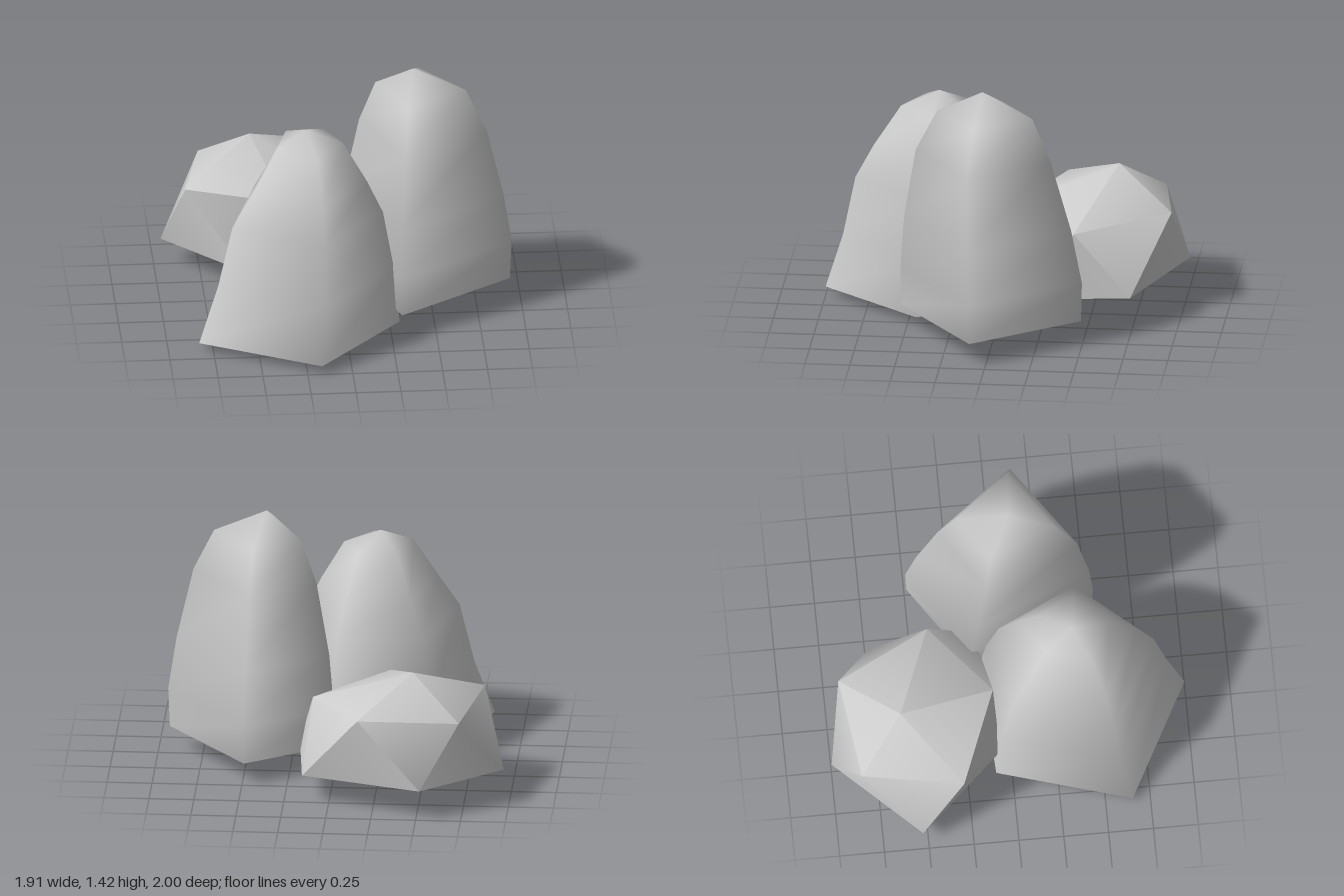
import * as THREE from 'three';
import { ConvexGeometry } from 'three/addons/geometries/ConvexGeometry.js';
import { toCreasedNormals } from 'three/addons/utils/BufferGeometryUtils.js';

const material = new THREE.MeshStandardMaterial({ color: 0xcccccc });

function buildGeometry(positions, indices) {
  const geo = new THREE.BufferGeometry();
  geo.setAttribute('position', new THREE.Float32BufferAttribute(positions, 3));
  geo.setIndex(indices);
  geo.computeVertexNormals();
  return geo;
}

// Standing stone: a polygonal base [x, z] repeated up through rings
// [y, scale, centreX, centreZ] and closed by an apex; the base is a flat cap.
function standingStone(name, base, rings, apex) {
  const n = base.length;
  const [, , baseX, baseZ] = rings[0];
  const positions = [];
  for (const [y, s, cx, cz] of rings) {
    for (const [x, z] of base) positions.push(cx + (x - baseX) * s, y, cz + (z - baseZ) * s);
  }
  const tip = rings.length * n;
  positions.push(...apex);

  const sides = [];
  for (let r = 0; r < rings.length; r++) {
    for (let i = 0; i < n; i++) {
      const a = r * n + i;
      const b = r * n + (i + 1) % n;
      if (r === rings.length - 1) sides.push(a, b, tip);
      else sides.push(a, b, b + n, a, b + n, a + n);
    }
  }
  const bottom = [];
  for (let i = 1; i < n - 1; i++) bottom.push(0, i + 1, i);

  const group = new THREE.Group();
  group.name = name;
  const body = new THREE.Mesh(buildGeometry(positions, sides), material);
  body.name = name + 'Sides';
  const cap = new THREE.Mesh(buildGeometry(positions.slice(0, n * 3), bottom), material);
  cap.name = name + 'Base';
  group.add(body, cap);
  return group;
}

export function createModel() {
  const model = new THREE.Group();
  model.name = 'rockCluster';

  // Wide five-sided stone at the front
  model.add(standingStone('frontStone',
    [[-0.83, 0.65], [-0.17, 1.0], [0.3, 0.45], [0.02, -0.13], [-0.61, -0.09]],
    [
      [0.05, 1, -0.265, 0.44],
      [0.37, 0.876, -0.225, 0.41],
      [0.71, 0.752, -0.215, 0.41],
      [0.9, 0.57, -0.2, 0.41],
      [1.13, 0.336, -0.2, 0.39],
    ],
    [-0.22, 1.21, 0.37]));

  // Tall four-sided stone
  model.add(standingStone('tallStone',
    [[0.01, -0.17], [0.31, 0.53], [0.94, 0.09], [0.49, -0.49]],
    [
      [0.125, 1, 0.48, 0.02],
      [0.35, 1.01, 0.485, 0.02],
      [0.65, 0.93, 0.475, 0.04],
      [1.05, 0.75, 0.465, 0.065],
      [1.29, 0.53, 0.45, 0.055],
    ],
    [0.4, 1.42, 0.07]));

  // Low boulder: irregular twelve-cornered solid
  const corners = [
    [-0.46, 0.73, -0.61],
    // upper corners
    [-0.84, 0.55, -0.29], [-0.73, 0.52, -0.85], [-0.17, 0.55, -0.93],
    [0.11, 0.5, -0.41], [-0.3, 0.55, -0.08],
    // lower corners
    [-0.96, 0.14, -0.53], [-0.52, 0.17, -1.0], [0.15, 0.15, -0.73],
    [0.2, 0.14, -0.15], [-0.52, 0.14, -0.06],
    [-0.32, 0, -0.4],
  ].map((p) => new THREE.Vector3(...p));
  const boulder = new THREE.Mesh(toCreasedNormals(new ConvexGeometry(corners), 0.8), material);
  boulder.name = 'boulder';
  model.add(boulder);

  return model;
}
